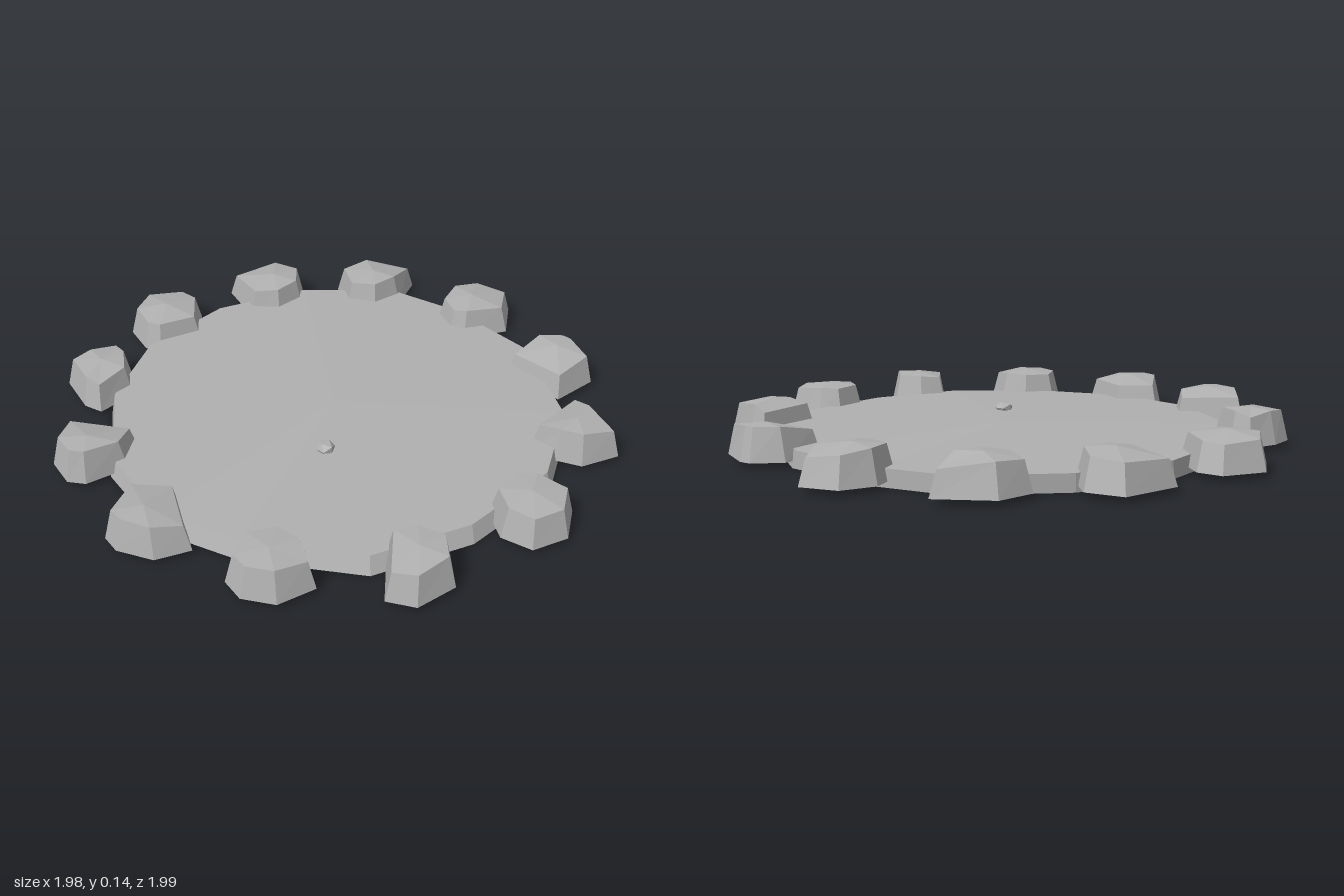
import * as THREE from 'three';

const stone = new THREE.MeshStandardMaterial({ color: 0xb0b0b0, flatShading: true });
stone.name = 'grey stone';

// Faceted slab: lofts a lower ring to an upper ring and closes both with fans.
// Rings run clockwise seen from above.
function slab(name, lower, upper, bottom, peak) {
  const pos = [];
  const tri = (a, b, c) => pos.push(...a, ...b, ...c);
  lower.forEach((a, i) => {
    const j = (i + 1) % lower.length;
    const b = lower[j], c = upper[j], d = upper[i];
    tri(a, d, b);
    tri(b, d, c);
    tri(d, peak, c);
    tri(a, b, bottom);
  });
  const geo = new THREE.BufferGeometry();
  geo.setAttribute('position', new THREE.Float32BufferAttribute(pos, 3));
  geo.computeVertexNormals();
  const mesh = new THREE.Mesh(geo, stone);
  mesh.name = name;
  return mesh;
}

// Rim stone: base outline drawn in by a bevel, with corners that droop when far out
function rimStone(...outline) {
  const n = outline.length;
  const cx = outline.reduce((s, p) => s + p[0], 0) / n;
  const cz = outline.reduce((s, p) => s + p[1], 0) / n;
  const lower = outline.map(([x, z]) => [x, 0.02, z]);
  const upper = outline.map(([x, z]) => {
    const d = Math.hypot(x - cx, z - cz);
    const k = 1 - 0.027 / d;
    return [cx + (x - cx) * k, 0.134 - 0.45 * Math.max(0, d - 0.12), cz + (z - cz) * k];
  });
  return slab('rimStone', lower, upper, [cx, 0.02, cz], [cx, 0.139, cz]);
}

export function createModel() {
  const model = new THREE.Group();
  model.name = 'stoneCircle';

  // Irregular ground disc, its top shifted slightly towards the back
  const edge = [
    [-0.2, -0.77], [0.17, -0.77], [0.5, -0.62], [0.74, -0.35], [0.79, -0.07],
    [0.75, 0.3], [0.5, 0.65], [0.18, 0.8], [-0.2, 0.775], [-0.53, 0.63],
    [-0.75, 0.28], [-0.83, 0], [-0.75, -0.33], [-0.5, -0.62],
  ];
  model.add(slab('groundDisc',
    edge.map(([x, z]) => [x, 0, z]),
    edge.map(([x, z]) => [x * 0.985 + 0.01, 0.06, z * 0.985 - 0.01]),
    [0, 0, 0], [0, 0.073, 0]));

  // Ring of stones, clockwise from the back
  const ring = new THREE.Group();
  ring.name = 'stoneRing';
  ring.add(
    rimStone([0, -1], [0.13, -0.915], [0.13, -0.825], [0.01, -0.7], [-0.145, -0.76], [-0.17, -0.815], [-0.13, -0.94]),
    rimStone([0.335, -0.87], [0.535, -0.81], [0.555, -0.68], [0.455, -0.585], [0.335, -0.595], [0.265, -0.68]),
    rimStone([0.65, -0.57], [0.78, -0.54], [0.88, -0.365], [0.735, -0.315], [0.615, -0.34], [0.565, -0.445]),
    rimStone([0.845, -0.145], [0.955, -0.09], [0.99, 0.04], [0.85, 0.13], [0.7, 0.04], [0.675, -0.015], [0.72, -0.11]),
    rimStone([0.61, 0.305], [0.77, 0.31], [0.845, 0.395], [0.845, 0.44], [0.78, 0.565], [0.605, 0.54]),
    rimStone([0.3, 0.63], [0.55, 0.635], [0.535, 0.715], [0.465, 0.88], [0.335, 0.82], [0.3, 0.73]),
    rimStone([-0.07, 0.73], [0.06, 0.725], [0.11, 0.79], [0.12, 0.925], [0, 0.99], [-0.12, 0.94], [-0.14, 0.83]),
    rimStone([-0.425, 0.605], [-0.345, 0.66], [-0.32, 0.775], [-0.41, 0.865], [-0.555, 0.835], [-0.6, 0.745]),
    rimStone([-0.735, 0.28], [-0.635, 0.35], [-0.63, 0.465], [-0.695, 0.56], [-0.825, 0.52], [-0.88, 0.42], [-0.86, 0.335]),
    rimStone([-0.8, -0.165], [-0.705, -0.04], [-0.83, 0.16], [-0.94, 0.105], [-0.99, -0.015], [-0.975, -0.085]),
    rimStone([-0.725, -0.575], [-0.595, -0.365], [-0.695, -0.3], [-0.845, -0.34], [-0.88, -0.395], [-0.85, -0.505]),
    rimStone([-0.515, -0.845], [-0.415, -0.845], [-0.305, -0.8], [-0.32, -0.72], [-0.405, -0.615], [-0.55, -0.62], [-0.565, -0.69]),
  );
  model.add(ring);

  // Small pebble lying on the disc
  const pebble = new THREE.Mesh(new THREE.IcosahedronGeometry(0.034, 0), stone);
  pebble.name = 'pebble';
  pebble.scale.y = 0.75;
  pebble.position.set(-0.22, 0.077, 0.16);
  model.add(pebble);

  return model;
}
